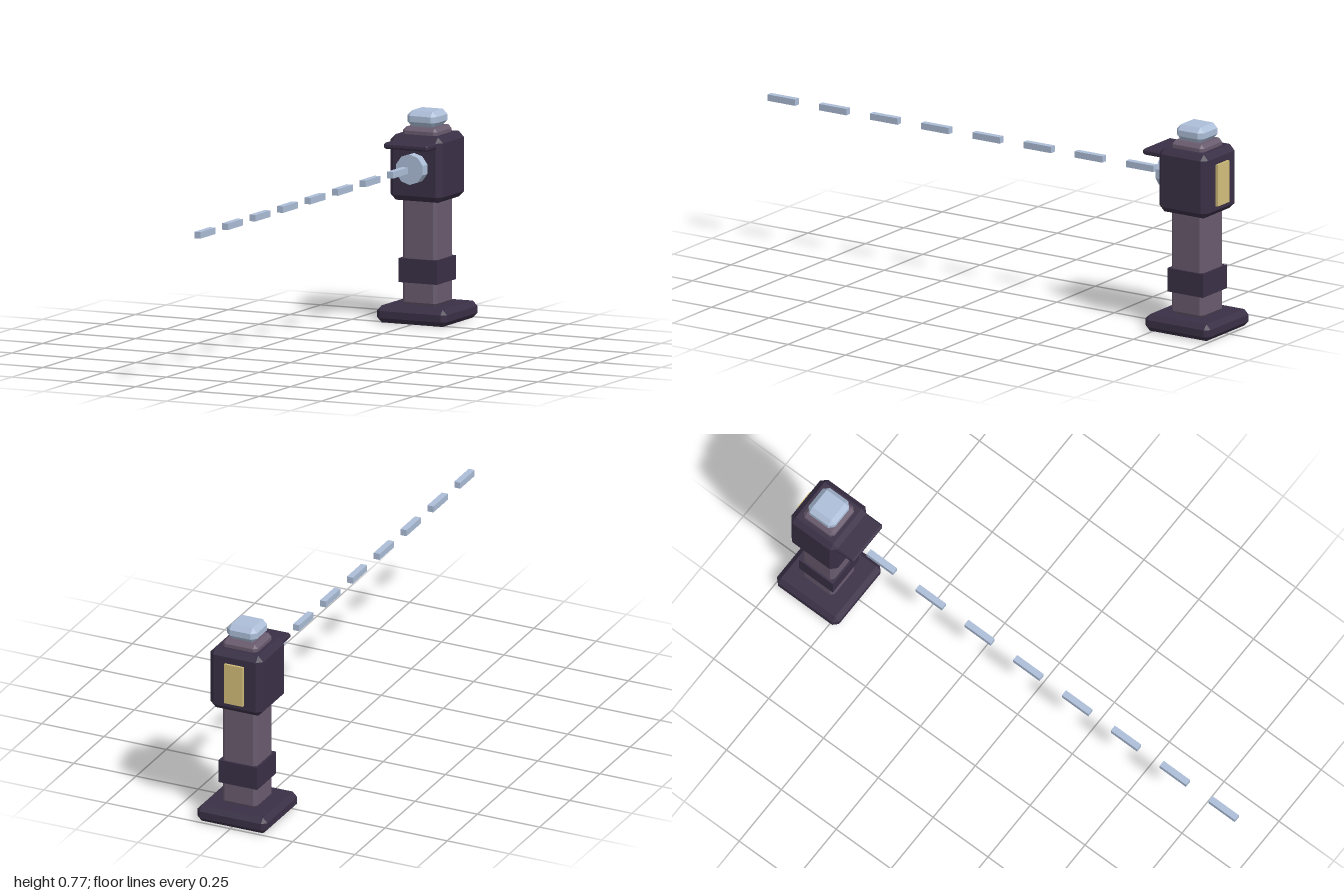
import * as THREE from 'three';
import { ConvexGeometry } from 'three/addons/geometries/ConvexGeometry.js';

const material = (name, color) => {
  const m = new THREE.MeshStandardMaterial({ color });
  m.name = name;
  return m;
};

// Box with every edge cut at 45 degrees
function chamferBox(w, h, d, c) {
  const points = [];
  for (const x of [-1, 1]) for (const y of [-1, 1]) for (const z of [-1, 1])
    for (let axis = 0; axis < 3; axis++) {
      const inset = [c, c, c];
      inset[axis] = 0;
      points.push(new THREE.Vector3(
        x * (w / 2 - inset[0]), y * (h / 2 - inset[1]), z * (d / 2 - inset[2])));
    }
  return new ConvexGeometry(points);
}

export function createModel() {
  const dark = material('dark plum', 0x3a3046);
  const plum = material('dusty plum', 0x6a5c6f);
  const pale = material('pale blue', 0xadbed8);
  const gold = material('muted gold', 0xd2be7a);

  const model = new THREE.Group();
  model.name = 'beamPost';
  const post = new THREE.Group();
  post.name = 'sensorPost';
  post.position.z = -0.86;
  model.add(post);

  const add = (parent, name, geometry, mat, x, y, z) => {
    const mesh = new THREE.Mesh(geometry, mat);
    mesh.name = name;
    mesh.position.set(x, y, z);
    parent.add(mesh);
    return mesh;
  };

  // Stand
  add(post, 'base', chamferBox(0.282, 0.062, 0.282, 0.018), dark, 0, 0.031, 0);
  add(post, 'column', chamferBox(0.14, 0.41, 0.14, 0.012), plum, 0, 0.265, 0);
  add(post, 'band', new THREE.BoxGeometry(0.155, 0.088, 0.155), dark, 0, 0.188, 0);

  // Head and cap
  add(post, 'head', chamferBox(0.212, 0.24, 0.212, 0.021), dark, 0, 0.566, 0);
  add(post, 'collar', chamferBox(0.14, 0.05, 0.14, 0.013), plum, 0, 0.687, 0);
  add(post, 'cap', chamferBox(0.12, 0.058, 0.12, 0.018), pale, 0, 0.741, 0);

  // Front lens, with a visor above it
  const lens = new THREE.CylinderGeometry(0.056, 0.056, 0.05, 10).rotateX(Math.PI / 2).toNonIndexed();
  lens.computeVertexNormals();
  add(post, 'lens', lens, pale, 0, 0.57, 0.12);
  add(post, 'visor', chamferBox(0.178, 0.022, 0.085, 0.006), dark, 0, 0.656, 0.137);

  // Service panel on the back
  add(post, 'backPanel', new THREE.BoxGeometry(0.075, 0.156, 0.009), gold, 0, 0.562, -0.1105);

  // Dashed beam
  const beam = new THREE.Group();
  beam.name = 'beam';
  model.add(beam);
  const dash = new THREE.BoxGeometry(0.024, 0.024, 0.12);
  for (let i = 0; i < 8; i++)
    add(beam, `beamDash${i + 1}`, dash, pale, 0, 0.572, 0.94 - i * 0.2226);

  return model;
}
